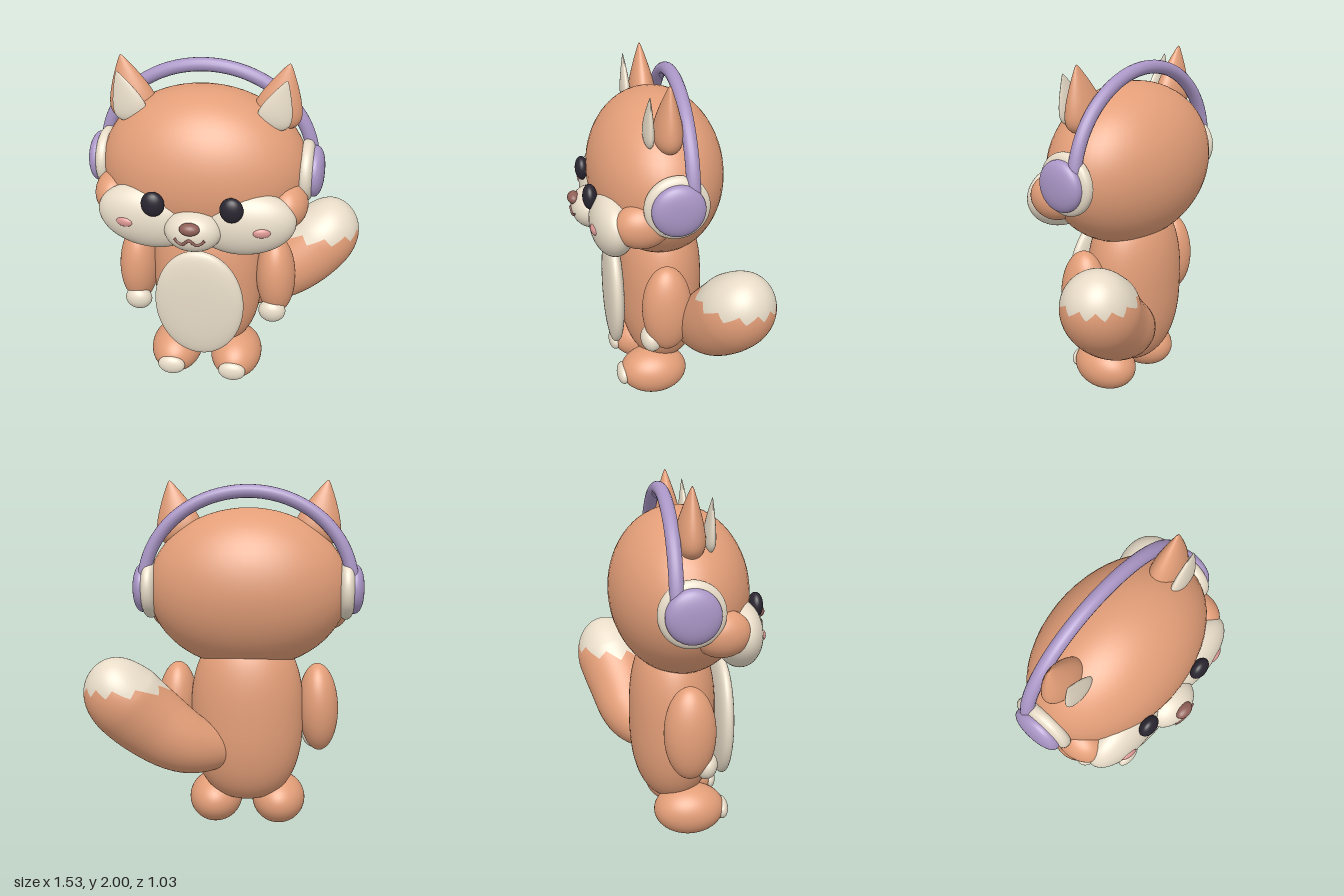
import * as THREE from 'three';

const paint = (color) => new THREE.MeshStandardMaterial({ color, roughness: 0.8 });
const FUR = paint(0xe39e78), CREAM = paint(0xe8dcc8), LILAC = paint(0xaa96c6);
const DARK = paint(0x2a2530), NOSE = paint(0x8f5f57), PINK = paint(0xdb9793);
const BALL = new THREE.SphereGeometry(1, 48, 32);

// Unit solid of revolution between a ball (power 2) and a drum (high power)
function roundDrum(power) {
  const pts = [];
  for (let i = 0; i <= 40; i++) {
    const a = -Math.PI / 2 + (Math.PI * i) / 40;
    const c = Math.max(0, Math.cos(a)), s = Math.sin(a);
    pts.push(new THREE.Vector2(c ** (2 / power), Math.sign(s) * Math.abs(s) ** (2 / power)));
  }
  return new THREE.LatheGeometry(pts, 56);
}

// Rounded cone with a domed base, widest at y = 0 and its tip at y = 1
function earShape() {
  const profile = new THREE.SplineCurve([
    [0, -0.32], [0.5, -0.28], [0.88, -0.16], [1, 0.02], [0.86, 0.28], [0.54, 0.6], [0.2, 0.88], [0.07, 0.97], [0, 1],
  ].map(([x, y]) => new THREE.Vector2(x, y)));
  const pts = profile.getPoints(36);
  pts.forEach((p) => { p.x = Math.max(0, p.x); });
  pts[0].x = pts[36].x = 0;
  return new THREE.LatheGeometry(pts, 40);
}

// Tail swept along a curve, split into two colours by a zigzag line
function buildTail() {
  const path = new THREE.CatmullRomCurve3([
    [0.12, 0.48, -0.12], [0.34, 0.555, -0.21], [0.52, 0.68, -0.25], [0.67, 0.84, -0.31], [0.76, 1.03, -0.38],
  ].map((p) => new THREE.Vector3(...p)));
  const START = -1.11, END = Math.PI / 2, AROUND = 132, ALONG = 28;
  const ref = new THREE.Vector3(0, 0, 1);
  const surface = (phi, u) => {
    const s = THREE.MathUtils.clamp(0.7 + (phi < 0 ? 0.78 : 0.3) * Math.sin(phi), 0, 1);
    const t = path.getTangentAt(s);
    const n = new THREE.Vector3().crossVectors(t, ref).normalize();
    const b = new THREE.Vector3().crossVectors(t, n);
    const r = 0.212 * Math.cos(phi);
    return path.getPointAt(s).addScaledVector(n, r * Math.cos(u)).addScaledVector(b, r * Math.sin(u));
  };
  // Where the colours meet at each angle
  const border = [];
  for (let j = 0; j < AROUND; j++) {
    const u = (j / AROUND) * Math.PI * 2;
    const tooth = Math.abs(((j / 12) % 1) * 2 - 1);
    const level = 0.86 + 0.045 * tooth;
    let lo = START, hi = 1.3;
    for (let k = 0; k < 18; k++) {
      const mid = (lo + hi) / 2;
      if (surface(mid, u).y < level) lo = mid; else hi = mid;
    }
    border.push(lo);
  }
  const patch = (from, to) => {
    const pos = [], idx = [];
    for (let i = 0; i <= ALONG; i++) {
      for (let j = 0; j < AROUND; j++) {
        const phi = THREE.MathUtils.lerp(from(j), to(j), i / ALONG);
        pos.push(...surface(phi, (j / AROUND) * Math.PI * 2).toArray());
        if (i === ALONG) continue;
        const a = i * AROUND + j, b = i * AROUND + ((j + 1) % AROUND);
        idx.push(a, b, a + AROUND, b, b + AROUND, a + AROUND);
      }
    }
    const geo = new THREE.BufferGeometry();
    geo.setAttribute('position', new THREE.Float32BufferAttribute(pos, 3));
    geo.setIndex(idx);
    geo.computeVertexNormals();
    return geo;
  };
  return {
    base: patch(() => START, (j) => border[j]),
    tip: patch((j) => border[j], () => END),
  };
}

export function createModel() {
  const model = new THREE.Group();
  model.name = 'foxWithHeadphones';
  const fox = new THREE.Group();
  fox.name = 'fox';
  fox.position.x = -0.12; // the tail reaches out to the left, so the body sits off centre
  model.add(fox);

  const add = (name, geo, mat, pos = [0, 0, 0], scale = [1, 1, 1], rot = [0, 0, 0]) => {
    const mesh = new THREE.Mesh(geo, mat);
    mesh.name = name;
    mesh.position.set(...pos);
    mesh.scale.set(...scale);
    mesh.rotation.set(...rot);
    fox.add(mesh);
  };
  // Same part on both sides, given for the left (+x)
  const pair = (name, geo, mat, [x, y, z], scale, [rx, ry, rz] = [0, 0, 0]) => {
    add(name + 'Left', geo, mat, [x, y, z], scale, [rx, ry, rz]);
    add(name + 'Right', geo, mat, [-x, y, z], scale, [rx, -ry, -rz]);
  };

  // Body and belly
  add('body', roundDrum(2.5), FUR, [0, 0.67, -0.01], [0.325, 0.5, 0.245]);
  add('belly', roundDrum(2.5), CREAM, [0, 0.637, 0.275], [0.257, 0.055, 0.354], [Math.PI / 2, 0, 0]);

  // Limbs
  pair('arm', BALL, FUR, [0.412, 0.715, 0.025], [0.115, 0.257, 0.14], [0, 0, 0.04]);
  pair('hand', BALL, CREAM, [0.405, 0.52, 0.115], [0.08, 0.075, 0.06], [0.2, 0, 0]);
  pair('foot', BALL, FUR, [0.187, 0.147, 0.063], [0.156, 0.145, 0.202]);
  pair('toePad', BALL, CREAM, [0.187, 0.135, 0.25], [0.083, 0.062, 0.04]);

  // Head and face
  add('head', BALL, FUR, [0, 1.4, 0.022], [0.57, 0.455, 0.382]);
  pair('cheekFur', BALL, FUR, [0.475, 1.278, 0.17], [0.11, 0.125, 0.15]);
  pair('cheek', BALL, CREAM, [0.262, 1.215, 0.3], [0.275, 0.183, 0.125], [0, 0, 0.14]);
  add('muzzle', BALL, CREAM, [0, 1.195, 0.385], [0.155, 0.115, 0.115]);
  add('nose', BALL, NOSE, [0, 1.255, 0.482], [0.054, 0.034, 0.036]);
  pair('eye', BALL, DARK, [0.207, 1.345, 0.41], [0.062, 0.07, 0.04]);
  pair('blush', BALL, PINK, [0.366, 1.225, 0.41], [0.047, 0.027, 0.018], [0, 0.2, 0]);
  const mouth = new THREE.CatmullRomCurve3([
    [-0.08, 1.198, 0.485], [-0.065, 1.18, 0.488], [-0.038, 1.17, 0.495], [0, 1.198, 0.502],
    [0.038, 1.17, 0.495], [0.065, 1.18, 0.488], [0.08, 1.198, 0.485],
  ].map((p) => new THREE.Vector3(...p)));
  add('mouth', new THREE.TubeGeometry(mouth, 48, 0.008, 8), NOSE);

  // Ears
  const ear = earShape();
  pair('ear', ear, FUR, [0.388, 1.735, 0.02], [0.13, 0.275, 0.076], [0, 0, -0.21]);
  pair('innerEar', ear, CREAM, [0.382, 1.745, 0.119], [0.09, 0.212, 0.028], [0, 0, -0.29]);

  // Headphones
  const bandPoints = [];
  for (let i = 0; i <= 24; i++) {
    const a = (Math.PI * i) / 24;
    bandPoints.push(new THREE.Vector3(0.583 * Math.cos(a), 1.42 + 0.522 * Math.sin(a), -0.075));
  }
  add('headband', new THREE.TubeGeometry(new THREE.CatmullRomCurve3(bandPoints), 80, 0.037, 16), LILAC);
  pair('earCushion', roundDrum(2.6), CREAM, [0.555, 1.403, 0.004], [0.172, 0.052, 0.172], [0, 0, Math.PI / 2]);
  pair('earCup', roundDrum(2.3), LILAC, [0.598, 1.403, 0.004], [0.14, 0.057, 0.14], [0, 0, Math.PI / 2]);

  // Tail
  const tail = buildTail();
  add('tail', tail.base, FUR);
  add('tailTip', tail.tip, CREAM);

  return model;
}
